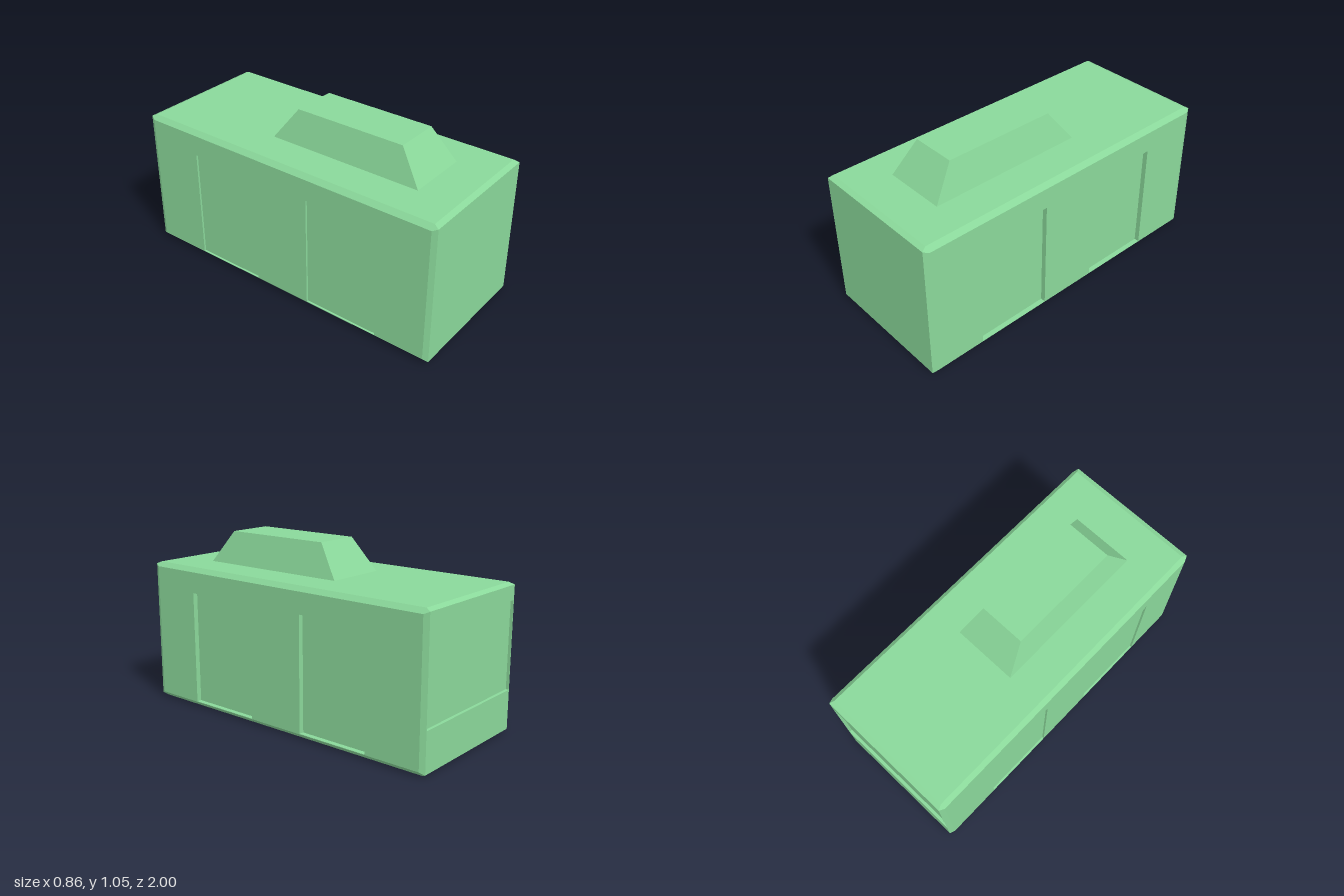
import * as THREE from 'three';

const material = new THREE.MeshStandardMaterial({ color: 0x8ad89a, flatShading: true });

// Flat-faced geometry from quads whose corners run counter-clockwise seen from outside
function quadGeometry(quads) {
  const pos = [];
  for (const [a, b, c, d] of quads) {
    for (const tri of [[a, b, c], [a, c, d]]) {
      const [p, q, r] = tri.map((v) => new THREE.Vector3(...v));
      if (q.sub(p).cross(r.sub(p)).length() > 1e-9) tri.forEach((v) => pos.push(...v));
    }
  }
  const g = new THREE.BufferGeometry();
  g.setAttribute('position', new THREE.Float32BufferAttribute(pos, 3));
  g.computeVertexNormals();
  return g;
}

function addMesh(parent, name, geometry) {
  const m = new THREE.Mesh(geometry, material);
  m.name = name;
  parent.add(m);
  return m;
}

// Quads joining two rings of points
function joinRings(a, b, skip = []) {
  return a.map((p, i) => {
    const j = (i + 1) % a.length;
    return skip.includes(i) ? null : [p, b[i], b[j], a[j]];
  }).filter(Boolean);
}

// Rectangle corners, counter-clockwise in the xy plane
const rect = ([x0, x1, y0, y1], z) => [[x0, y0, z], [x1, y0, z], [x1, y1, z], [x0, y1, z]];

// Wall facing local +z, with rectangular recesses sunk into it
function recessedWall(name, bounds, recesses, depth, recessName) {
  const group = new THREE.Group();
  group.name = name;
  const toPoints = (r) => rect(r, 0).map(([x, y]) => new THREE.Vector2(x, y));
  const shape = new THREE.Shape(toPoints(bounds));
  for (const r of recesses) {
    shape.holes.push(new THREE.Path(toPoints(r).reverse()));
    const outer = rect(r, 0), inner = rect(r, -depth);
    addMesh(group, recessName, quadGeometry([inner, ...joinRings(inner, outer)]));
  }
  addMesh(group, name + 'Panel', new THREE.ShapeGeometry(shape));
  return group;
}

export function createModel() {
  const model = new THREE.Group();
  model.name = 'cabin';
  const W = 0.43, H = 0.863, L = 1, B = 0.027, E = 0.97;

  // Chamfered shell: octagonal section drawn in to a rectangle at each end
  const section = [[W, B], [W, H - B], [W - B, H], [B - W, H], [-W, H - B], [-W, B], [B - W, 0], [W - B, 0]];
  const octagon = (z) => section.map(([x, y]) => [x, y, z]);
  const endX = W - B / 2, endY0 = B / 2, endY1 = H - B / 2;
  const endRing = (z) => section.map(([x, y]) => [Math.sign(x) * endX, y > H / 2 ? endY1 : endY0, z]);
  const endBounds = [-endX, endX, endY0, endY1];
  addMesh(model, 'shell', quadGeometry([
    rect(endBounds, L),
    ...joinRings(endRing(L), octagon(E)),
    ...joinRings(octagon(E), octagon(-E), [0, 4]),
    ...joinRings(octagon(-E), endRing(-L)),
  ]));

  // Side walls with two doorways each, deeper on the +x side
  const doors = [[0.19, 0.66], [-0.63, -0.18]];
  for (const [name, side, depth] of [['leftWall', 1, 0.03], ['rightWall', -1, 0.012]]) {
    const recesses = doors.map(([z0, z1]) => (side > 0 ? [-z1, -z0, 0.03, 0.71] : [z0, z1, 0.03, 0.71]));
    const wall = recessedWall(name, [-E, E, B, H - B], recesses, depth, 'doorway');
    wall.rotation.y = side * Math.PI / 2;
    wall.position.x = side * W;
    model.add(wall);
  }

  // Rear wall with a wide shallow recess
  const rear = recessedWall('rearWall', endBounds, [[-0.414, 0.414, 0.247, 0.763]], 0.018, 'rearRecess');
  rear.rotation.y = Math.PI;
  rear.position.z = -L;
  model.add(rear);

  // Tapered housing on the roof
  const ring = (x, y, zBack, zFront) => [[-x, y, zFront], [x, y, zFront], [x, y, zBack], [-x, y, zBack]];
  const top = ring(0.137, 1.055, -0.09, 0.6);
  const base = ring(0.192, H, -0.23, 0.738);
  addMesh(model, 'roofHousing', quadGeometry([top, ...joinRings(top, base)]));

  return model;
}
